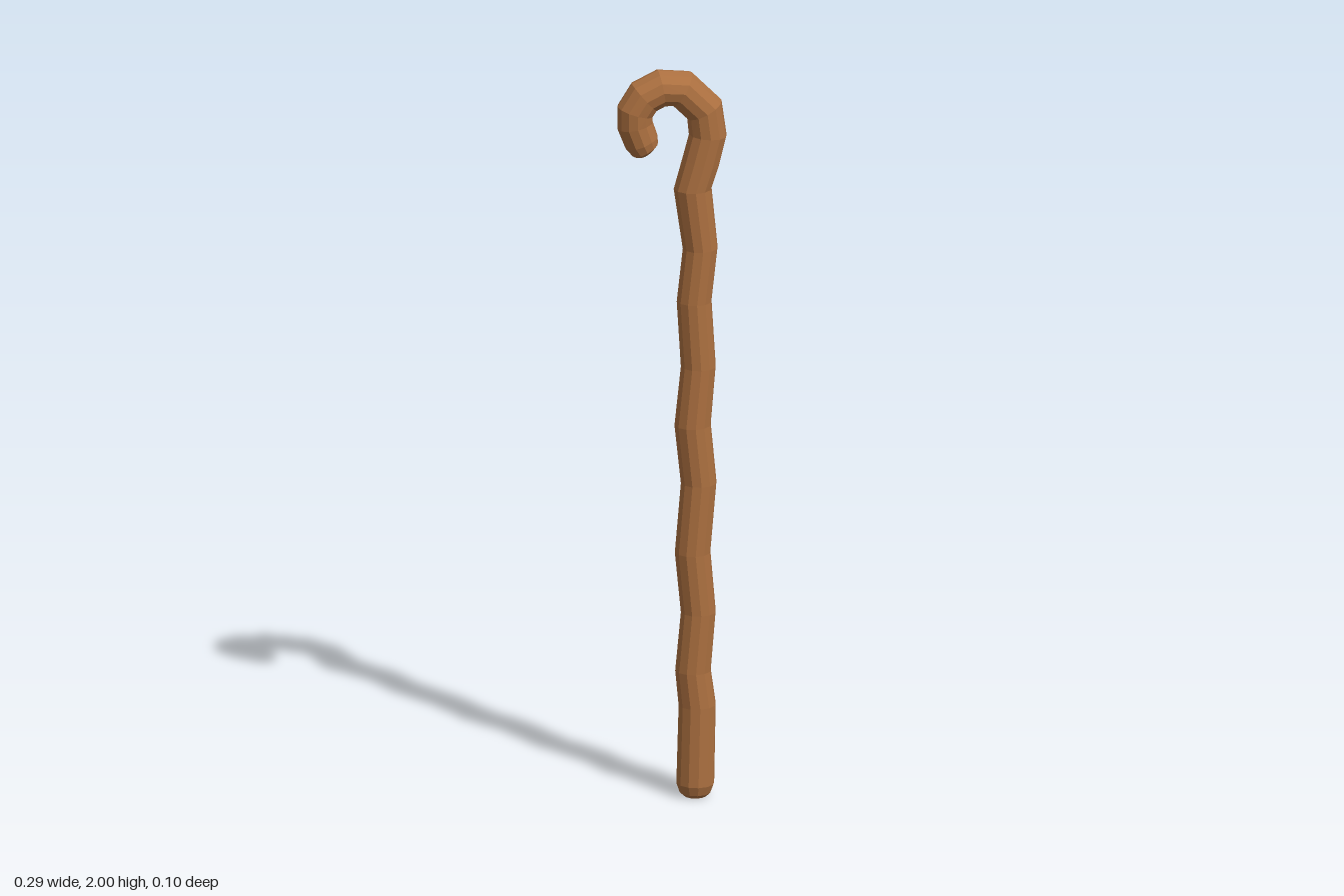
import * as THREE from 'three';

const SIDES = 12;

// Sweep a ring of SIDES points along a planar centre line of [x, y, radius].
function sweep(path) {
  const positions = [], index = [];
  path.forEach(([x, y, r], i) => {
    const a = path[Math.max(i - 1, 0)], b = path[Math.min(i + 1, path.length - 1)];
    const tangent = new THREE.Vector2(b[0] - a[0], b[1] - a[1]).normalize();
    for (let s = 0; s < SIDES; s++) {
      const angle = (s / SIDES) * Math.PI * 2;
      const side = Math.cos(angle) * r;
      positions.push(x + tangent.y * side, y - tangent.x * side, -Math.sin(angle) * r);
    }
  });
  for (let i = 0; i < path.length - 1; i++) {
    for (let s = 0; s < SIDES; s++) {
      const t = (s + 1) % SIDES;
      const a = i * SIDES + s, b = i * SIDES + t;
      index.push(a, b, b + SIDES, a, b + SIDES, a + SIDES);
    }
  }
  // Flat end faces
  const last = (path.length - 1) * SIDES;
  for (let s = 1; s < SIDES - 1; s++) {
    index.push(0, s + 1, s, last, last + s, last + s + 1);
  }
  const geometry = new THREE.BufferGeometry();
  geometry.setAttribute('position', new THREE.Float32BufferAttribute(positions, 3));
  geometry.setIndex(index);
  const flat = geometry.toNonIndexed();
  flat.computeVertexNormals();
  return flat;
}

export function createModel() {
  const group = new THREE.Group();
  group.name = 'crookedStaff';
  const wood = new THREE.MeshStandardMaterial({ color: 0xac7040, flatShading: true });
  wood.name = 'brown wood';

  // Wavy shaft with a bevelled foot, curling into a crook with a bevelled tip
  const shaft = [
    [0.06, 0, 0.03], [0.06, 0.01, 0.041], [0.06, 0.035, 0.05],
    [0.065, 0.25, 0.049], [0.054, 0.345, 0.047], [0.068, 0.505, 0.046],
    [0.053, 0.67, 0.047], [0.069, 0.86, 0.047], [0.053, 1.02, 0.048],
    [0.068, 1.18, 0.046], [0.057, 1.36, 0.046], [0.073, 1.505, 0.046],
    [0.053, 1.67, 0.05],
  ];
  const crook = [
    [0.074, 1.74, 0.05], [0.093, 1.815, 0.05], [0.084, 1.885, 0.051],
    [0.025, 1.945, 0.051], [-0.03, 1.95, 0.05], [-0.075, 1.928, 0.05],
    [-0.099, 1.89, 0.049], [-0.099, 1.852, 0.047], [-0.082, 1.805, 0.045],
    [-0.072, 1.784, 0.038], [-0.067, 1.777, 0.025],
  ];
  const staff = new THREE.Mesh(sweep([...shaft, ...crook]), wood);
  staff.name = 'staff';
  group.add(staff);
  return group;
}
